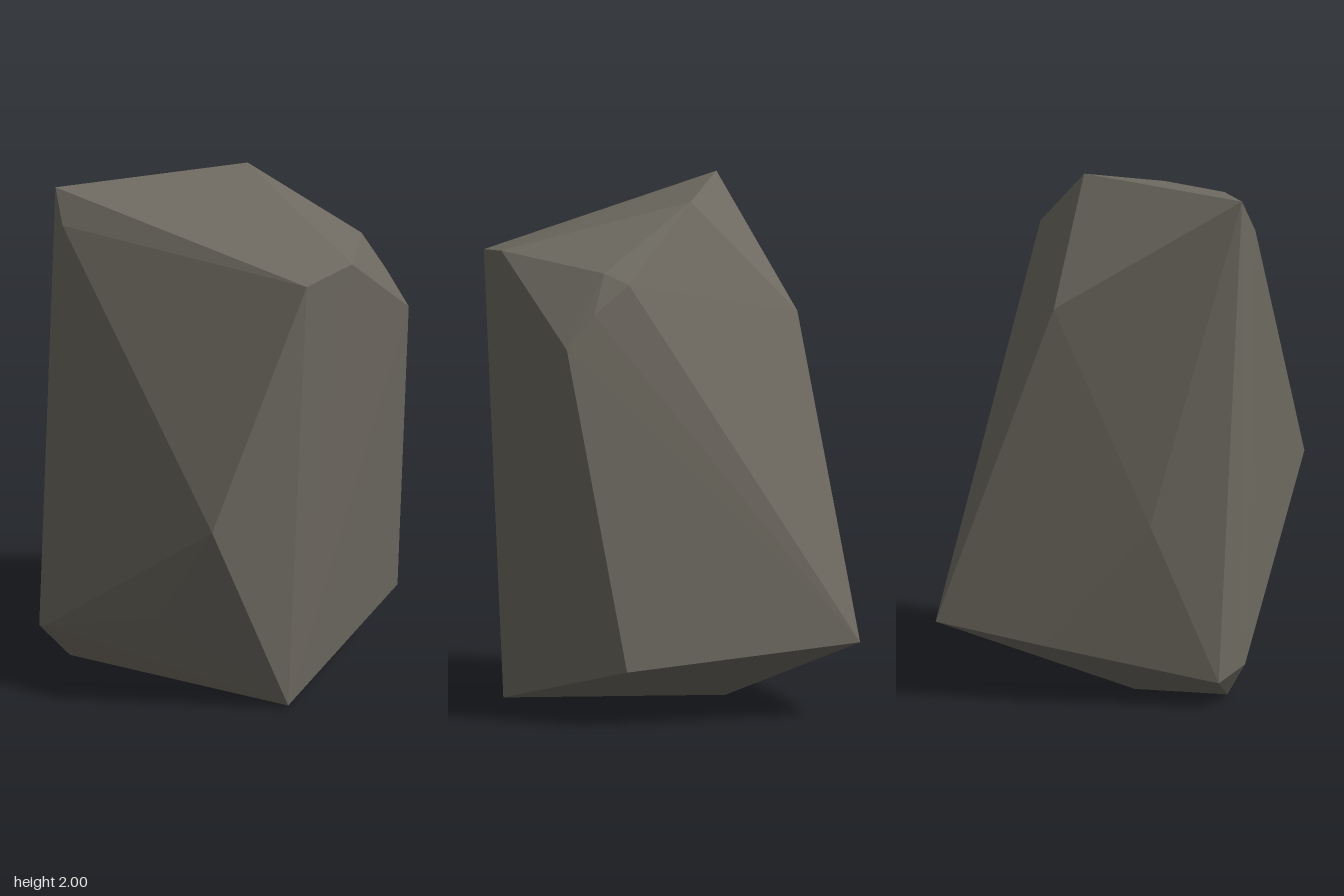
import * as THREE from 'three';
import { ConvexGeometry } from 'three/addons/geometries/ConvexGeometry.js';

export function createModel() {
  const group = new THREE.Group();
  group.name = 'rock';
  const stone = new THREE.MeshStandardMaterial({ color: 0x6e6a61, flatShading: true });
  stone.name = 'stone';

  // Corners of the faceted boulder, grouped by area
  const crown = [
    [-0.546, 2, -0.482], [0.14, 2, -0.08], [-0.588, 1.87, -0.41],
    [-0.07, 1.82, 0.635], [-0.31, 1.79, 0.607], [0.194, 1.55, -0.51],
  ];
  const chippedShoulder = [
    [0.31, 1.767, 0.36], [0.368, 1.725, 0.28], [0.375, 1.615, 0.43], [0.375, 1.485, 0.547],
  ];
  const sides = [
    [-0.655, 0.81, 0.415], [-0.207, 0.72, -0.637], [0.22, 0.23, -0.637],
    [0.65, 0.3, -0.582], [0.53, 0.22, 0.357], [-0.535, 0.31, 0.03],
  ];
  const base = [
    [-0.563, 0.155, -0.515], [-0.476, 0.1, -0.625], [-0.485, 0.02, -0.46],
    [-0.32, 0.01, 0.52], [-0.1, 0, -0.33],
  ];

  const corners = [...crown, ...chippedShoulder, ...sides, ...base]
    .map((p) => new THREE.Vector3(...p));
  const boulder = new THREE.Mesh(new ConvexGeometry(corners), stone);
  boulder.name = 'boulder';
  group.add(boulder);
  return group;
}
